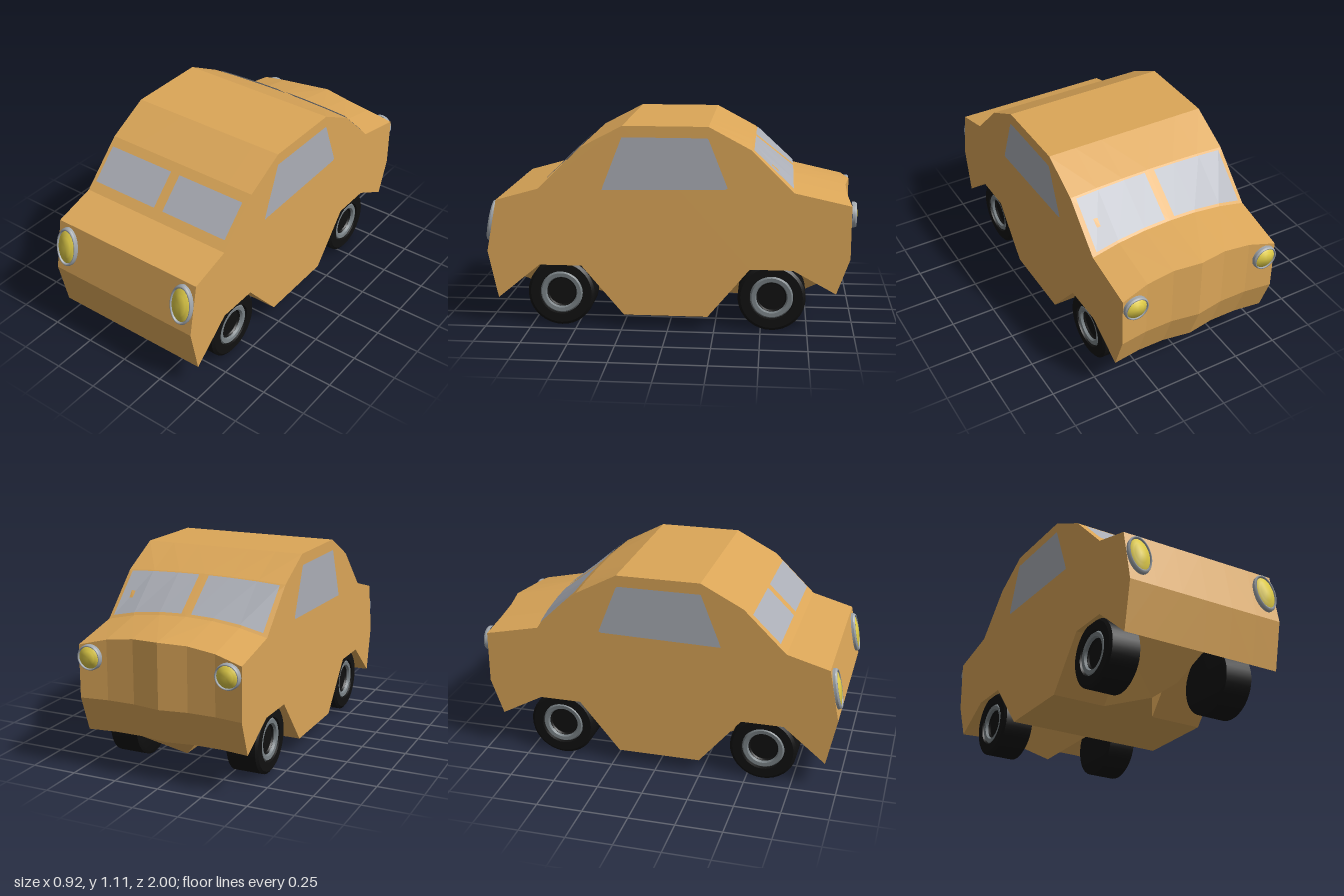
import * as THREE from 'three';
import { toCreasedNormals } from 'three/addons/utils/BufferGeometryUtils.js';

const mat = (name, color, side = THREE.FrontSide) => {
  const m = new THREE.MeshStandardMaterial({ color, side });
  m.name = name;
  return m;
};

// Side outline of the shell as [z, y]: up the nose, over the roof, down the tail, back underneath
const OUTLINE = [
  [0.93, 0.155], [0.985, 0.415], [0.93, 0.70], [0.70, 0.765], [0.47, 0.99], [0.24, 1.11],
  [-0.215, 1.11], [-0.44, 0.99], [-0.67, 0.765], [-0.97, 0.70], [-0.97, 0.415], [-0.90, 0.22],
  [-0.67, 0.345], [-0.44, 0.345], [-0.215, 0.075], [0.24, 0.075], [0.47, 0.345], [0.70, 0.345],
];
const COLUMNS = [-0.458, -0.306, -0.153, 0, 0.153, 0.306, 0.458];
const CROWN = { 7: 0.015, 8: 0.06, 9: 0.065 };   // rear deck rises towards the middle
const CROWN_SHAPE = [1, 0.9, 0.58, 0];           // centre to side
const TAIL_SHIFT = [-0.005, 0.02, 0.02, 0];      // tail panel waves in and out

// Shell corner at one column and one outline row
function corner(c, row) {
  const k = Math.abs(c - 3);
  let [z, y] = OUTLINE[row];
  y += (CROWN[row] || 0) * CROWN_SHAPE[k];
  if (row >= 9 && row <= 11) z += TAIL_SHIFT[k];
  if (k === 0 && [12, 13, 16, 17].includes(row)) y = 0.075; // keel between the wheel wells
  return new THREE.Vector3(COLUMNS[c], y, z);
}

function facets(triangles) {
  const g = new THREE.BufferGeometry().setFromPoints(triangles);
  g.computeVertexNormals();
  return g;
}

function shellGeometry() {
  const pts = [];
  const n = OUTLINE.length;
  for (let c = 0; c < COLUMNS.length - 1; c++) {
    for (let i = 0; i < n; i++) {
      const j = (i + 1) % n;
      const a = corner(c, i), b = corner(c + 1, i), d = corner(c + 1, j), e = corner(c, j);
      // mirrored diagonals
      if (c < 3) pts.push(a, b, d, a, d, e);
      else pts.push(a, b, e, b, d, e);
    }
  }
  // flat side walls
  const contour = OUTLINE.map(([z, y]) => new THREE.Vector2(z, y));
  for (const t of THREE.ShapeUtils.triangulateShape(contour, [])) {
    const clockwise = THREE.ShapeUtils.area(t.map(i => contour[i])) < 0;
    const tri = clockwise ? t : [t[0], t[2], t[1]];
    pts.push(...tri.map(i => corner(6, i)));
    pts.push(...[tri[0], tri[2], tri[1]].map(i => corner(0, i)));
  }
  return facets(pts);
}

// Point on the shell between two outline rows, lifted slightly outwards
function onShell(x, row, t) {
  let c = 0;
  while (c < COLUMNS.length - 2 && x > COLUMNS[c + 1]) c++;
  const s = (x - COLUMNS[c]) / (COLUMNS[c + 1] - COLUMNS[c]);
  const lo = corner(c, row).lerp(corner(c + 1, row), s);
  const hi = corner(c, row + 1).lerp(corner(c + 1, row + 1), s);
  const p = lo.lerp(hi, t);
  p.y += 0.005;
  p.z += 0.005 * Math.sign(p.z);
  return p;
}

// Window pane following the shell
function paneGeometry(xs, row, t0, t1) {
  const pts = [];
  for (let i = 0; i < xs.length - 1; i++) {
    const a = onShell(xs[i], row, t0), b = onShell(xs[i + 1], row, t0);
    const d = onShell(xs[i + 1], row, t1), e = onShell(xs[i], row, t1);
    pts.push(a, b, d, a, d, e);
  }
  return facets(pts);
}

const lathe = (profile, segments) => toCreasedNormals(
  new THREE.LatheGeometry(profile.map(p => new THREE.Vector2(...p)), segments), 0.6);

export function createModel() {
  const paint = mat('ochre paint', 0xdba658);
  const glass = mat('grey glass', 0xabaeb6, THREE.DoubleSide);
  const chrome = mat('lamp rim grey', 0xa2a8ae);
  const yellow = mat('lamp yellow', 0xdfcb48);
  const rubber = mat('black rubber', 0x111111);
  const steel = mat('hub grey', 0x788084);

  const model = new THREE.Group();
  model.name = 'car';
  const add = (parent, name, geometry, material) => {
    const m = new THREE.Mesh(geometry, material);
    m.name = name;
    parent.add(m);
    return m;
  };

  add(model, 'bodyShell', shellGeometry(), paint);

  // Front, rear and side windows
  const sideShape = new THREE.Shape(
    [[0.353, 0.765], [0.345, 0.79], [0.243, 1.05], [-0.208, 1.05], [-0.217, 1.04], [-0.318, 0.785], [-0.305, 0.778], [0.0, 0.772]]
      .map(([z, y]) => new THREE.Vector2(-z, y)));
  for (const s of [-1, 1]) {
    const xs = [0.028, 0.153, 0.306, 0.433].map(x => x * s).sort((a, b) => a - b);
    add(model, 'windshield', paneGeometry(xs, 3, 0.18, 0.83), glass);
    add(model, 'rearWindow', paneGeometry(xs, 7, 0.04, 0.95), glass);
    const side = add(model, 'sideWindow', new THREE.ShapeGeometry(sideShape), glass);
    side.rotation.y = Math.PI / 2;
    side.position.x = s * 0.462;
  }

  // Lamps: rim and stepped lens, facing +z
  const rim = lathe([[1, 0], [1, 0.016], [0.95, 0.025], [0.86, 0.025], [0.84, 0.014]], 32).rotateX(Math.PI / 2);
  const lens = lathe([[0.86, 0.015], [0.8, 0.021], [0.58, 0.024], [0.52, 0.028], [0, 0.029]], 32).rotateX(Math.PI / 2);
  const lamp = (name, x, y, z, rx, ry) => {
    const g = new THREE.Group();
    g.name = name;
    add(g, 'lampRim', rim, chrome);
    add(g, 'lampLens', lens, yellow);
    g.position.set(x, y, z);
    g.scale.set(rx, ry, 1);
    model.add(g);
    return g;
  };

  // Wheels facing +x: tyre with a recessed hub and a grey ring
  const tyre = lathe([[0, -0.091], [0.165, -0.091], [0.183, -0.08], [0.183, 0.08], [0.168, 0.091],
    [0.12, 0.091], [0.116, 0.07], [0.08, 0.07], [0.074, 0.06], [0, 0.06]], 36).rotateZ(-Math.PI / 2);
  const hub = lathe([[0.118, 0.072], [0.108, 0.086], [0.088, 0.084], [0.078, 0.062]], 36).rotateZ(-Math.PI / 2);

  for (const s of [-1, 1]) {
    lamp('headlight', s * 0.389, 0.57, 0.953, 0.068, 0.115).rotation.x = -0.19;
    lamp('rearLamp', s * 0.388, 0.643, -0.971, 0.068, 0.068).rotation.y = Math.PI;
    for (const z of [0.588, -0.558]) {
      const wheel = new THREE.Group();
      wheel.name = z > 0 ? 'frontWheel' : 'rearWheel';
      add(wheel, 'tyre', tyre, rubber);
      add(wheel, 'hubRing', hub, steel);
      wheel.position.set(s * 0.345, 0.183, z);
      if (s < 0) wheel.rotation.y = Math.PI;
      model.add(wheel);
    }
  }
  return model;
}
